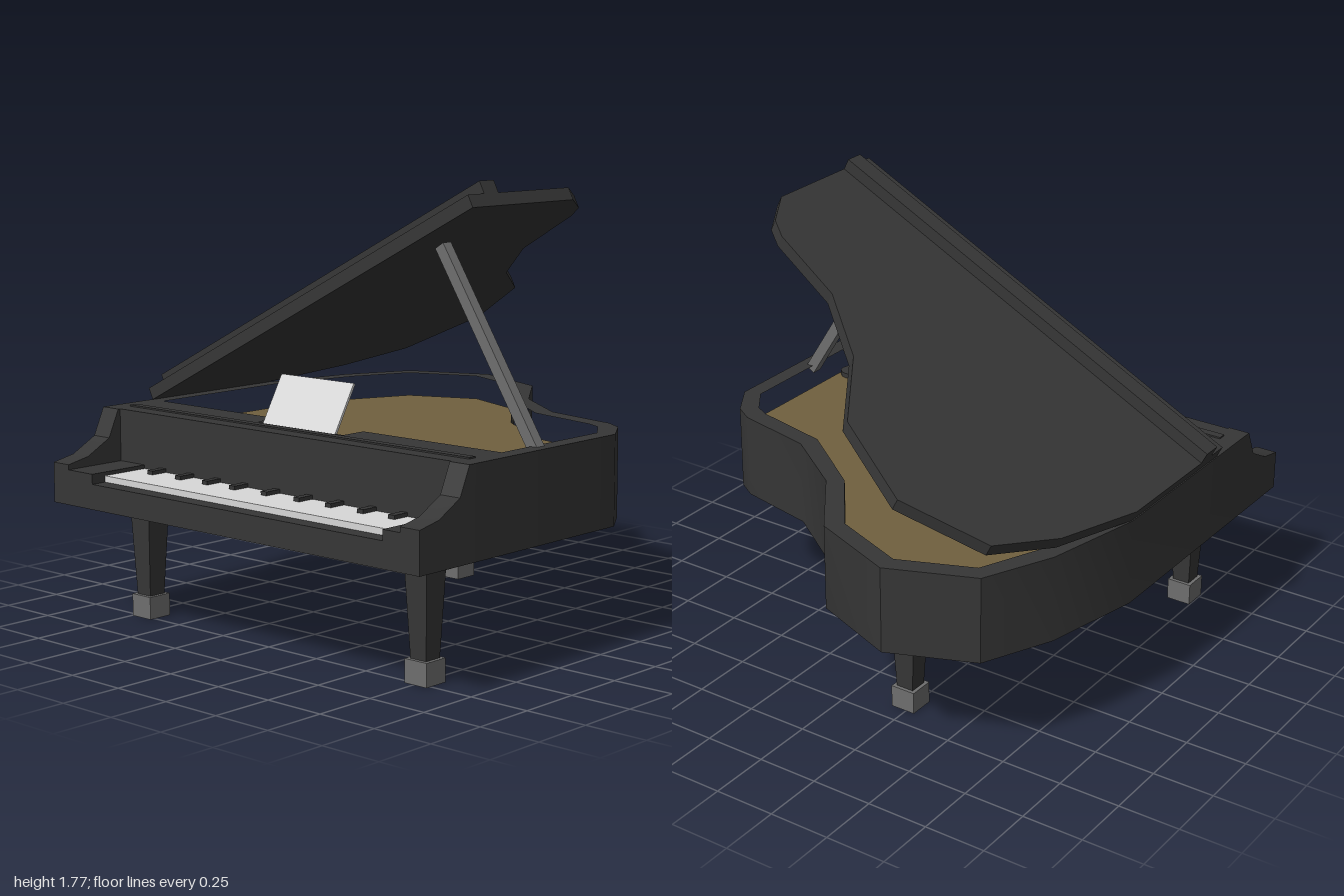
import * as THREE from 'three';
import { toCreasedNormals } from 'three/addons/utils/BufferGeometryUtils.js';

const material = (name, color) => {
  const m = new THREE.MeshStandardMaterial({ color });
  m.name = name;
  return m;
};

// Curved sides as [x, z], running from the left side round the tail to the right side
const OUTER = [[-0.94, -0.18], [-0.85, -0.58], [-0.72, -0.86], [-0.38, -1], [-0.02, -0.86], [0.2, -0.56],
  [0.48, -0.36], [0.81, -0.29], [0.89, -0.24], [0.98, -0.1]];
const INNER = [[-0.87, -0.17], [-0.78, -0.55], [-0.67, -0.8], [-0.38, -0.92], [-0.07, -0.8], [0.14, -0.52],
  [0.45, -0.29], [0.77, -0.22], [0.83, -0.19], [0.91, -0.08]];

const planShape = (points) => new THREE.Shape(points.map(([x, z]) => new THREE.Vector2(x, -z)));

// Extrude a plan shape upward from y0 to y1
function slab(shape, y0, y1, crease = 0.6) {
  const geo = new THREE.ExtrudeGeometry(shape, { depth: y1 - y0, bevelEnabled: false });
  geo.rotateX(-Math.PI / 2).translate(0, y0, 0);
  return toCreasedNormals(geo, crease);
}

export function createModel() {
  const black = material('black lacquer', 0x363636);
  const white = material('ivory white', 0xd8d8d8);
  const brown = material('soundboard brown', 0x70603f);
  const grey = material('metal grey', 0x6e6e6e);

  const model = new THREE.Group();
  model.name = 'grandPiano';

  const add = (name, geo, mat, parent = model) => {
    const mesh = new THREE.Mesh(geo, mat);
    mesh.name = name;
    parent.add(mesh);
    return mesh;
  };
  // Box given by its limits on each axis
  const box = (name, mat, [x0, x1], [y0, y1], [z0, z1], parent) => {
    const geo = new THREE.BoxGeometry(x1 - x0, y1 - y0, z1 - z0);
    geo.translate((x0 + x1) / 2, (y0 + y1) / 2, (z0 + z1) / 2);
    return add(name, geo, mat, parent);
  };

  // Case: curved rim with an open well, notched at the front for the music desk
  const well = [[-0.87, 0.48], ...INNER, [0.91, 0.48], [0.24, 0.48], [0.24, 0.59], [-0.21, 0.59], [-0.21, 0.48]];
  const rim = planShape([[-0.94, 0.73], ...OUTER, [0.98, 0.73]]);
  rim.holes.push(planShape(well));
  add('rim', slab(rim, 0.47, 0.82), black);
  add('caseBottom', slab(planShape(well), 0.47, 0.5), black);
  add('soundboard', slab(planShape(well), 0.7, 0.72), brown);
  box('topRail', black, [-0.87, 0.91], [0.82, 0.826], [0.625, 0.66]);

  // Small round bracket beside the prop
  const bracket = new THREE.CylinderGeometry(0.05, 0.05, 0.02, 12);
  bracket.translate(0.855, 0.73, 0.48);
  add('propBracket', bracket, black);

  // Swept cheeks at both ends of the keyboard
  const profile = [[0.73, 0.47], [1, 0.47], [1, 0.63], [0.9, 0.65], [0.79, 0.71], [0.74, 0.82], [0.73, 0.82]];
  for (const [name, x] of [['rightCheek', -0.94], ['leftCheek', 0.89]]) {
    const shape = new THREE.Shape(profile.map(([z, y]) => new THREE.Vector2(-z, y)));
    const geo = new THREE.ExtrudeGeometry(shape, { depth: 0.09, bevelEnabled: false });
    geo.rotateY(Math.PI / 2).translate(x, 0, 0);
    add(name, toCreasedNormals(geo, 0.6), black);
  }

  // Keyboard
  box('keyBed', black, [-0.85, 0.89], [0.47, 0.57], [0.73, 1]);
  box('rightKeyBlock', black, [-0.85, -0.71], [0.57, 0.61], [0.73, 1]);
  box('leftKeyBlock', black, [0.81, 0.89], [0.57, 0.61], [0.73, 1]);
  box('whiteKeys', white, [-0.71, 0.81], [0.57, 0.595], [0.73, 0.935]);
  for (const x of [-0.6, -0.44, -0.29, -0.14, 0.03, 0.2, 0.36, 0.52, 0.67]) {
    box('blackKey', black, [x - 0.015, x + 0.015], [0.595, 0.61], [0.73, 0.8]);
  }

  // Music desk, leaning back
  const desk = box('musicDesk', white, [-0.175, 0.205], [0, 0.208], [-0.01, 0]);
  desk.position.set(0, 0.82, 0.598);
  desk.rotation.x = -0.52;

  // Lid, hinged along the left-hand edge as seen from the keyboard
  const lid = new THREE.Group();
  lid.name = 'lid';
  lid.position.set(-0.935, 0.82, 0);
  lid.rotation.z = 0.468;
  const lidPlan = [[-0.94, 0.48], ...OUTER, [0.98, 0.48]].map(([x, z]) => [(x + 0.94) * 0.995, z]);
  add('lidPanel', slab(planShape(lidPlan), 0, 0.05, 0.3), black, lid);
  box('lidRail', black, [0, 1.91], [0.05, 0.1], [0.31, 0.39], lid);
  model.add(lid);

  // Prop stick from the rim to the lid
  const foot = new THREE.Vector2(0.925, 0.8);
  const head = new THREE.Vector2(0.472, 1.52);
  const span = head.clone().sub(foot);
  const prop = add('lidProp', new THREE.BoxGeometry(0.045, span.length(), 0.045), grey);
  prop.position.set((foot.x + head.x) / 2, (foot.y + head.y) / 2, 0.295);
  prop.rotation.z = span.angle() - Math.PI / 2;

  // Three square tapered legs with block feet
  for (const [name, x, z] of [['frontRightLeg', -0.695, 0.72], ['frontLeftLeg', 0.76, 0.72], ['rearLeg', -0.235, -0.62]]) {
    const leg = new THREE.Group();
    leg.name = name;
    leg.position.set(x, 0, z);
    const post = new THREE.CylinderGeometry(0.055 * Math.SQRT2, 0.037 * Math.SQRT2, 0.39, 4);
    post.rotateY(Math.PI / 4).translate(0, 0.28, 0);
    add('legPost', toCreasedNormals(post, 0.5), black, leg);
    box('legFoot', grey, [-0.052, 0.052], [0, 0.09], [-0.052, 0.052], leg);
    model.add(leg);
  }

  return model;
}
